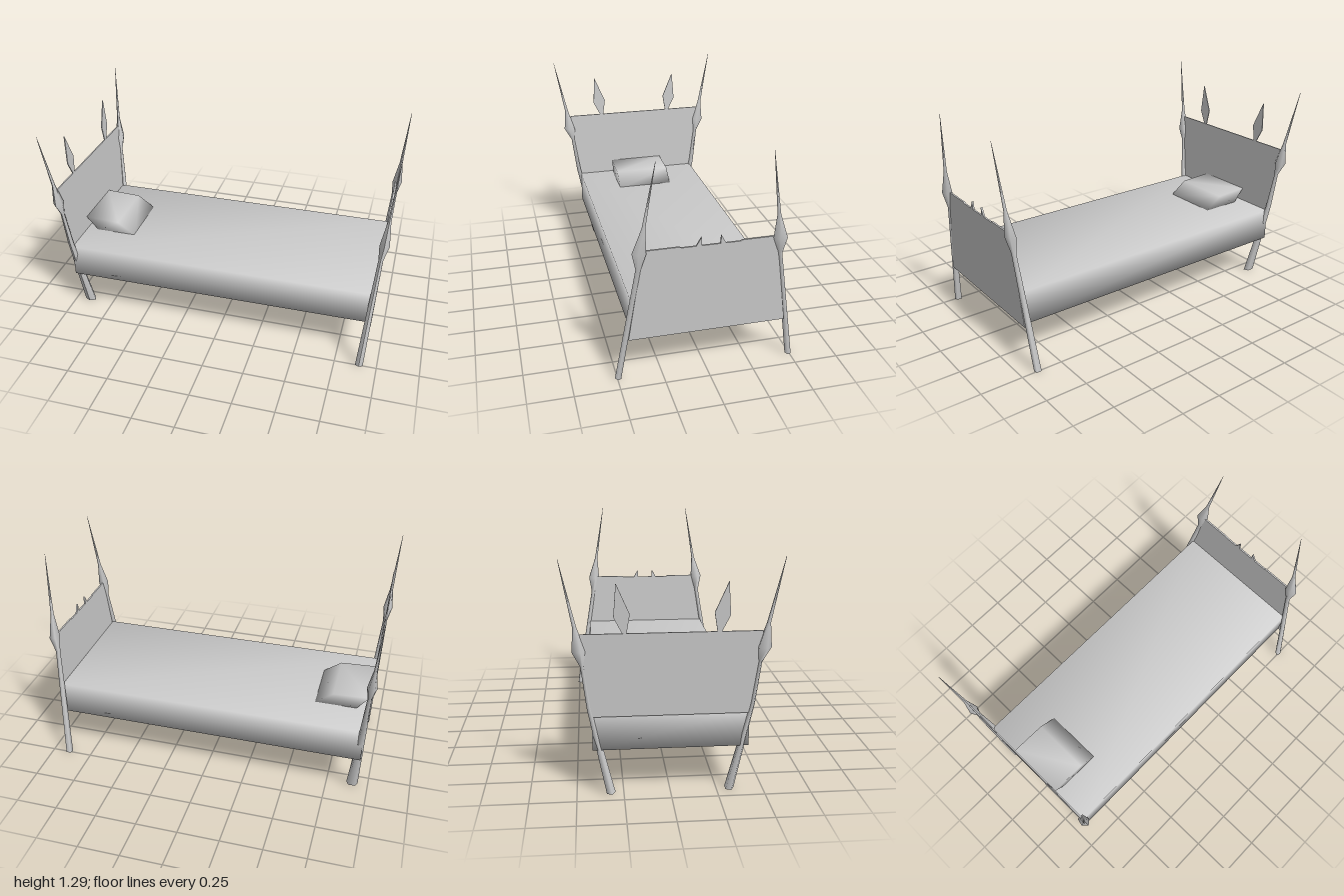
import * as THREE from 'three';
import { mergeVertices } from 'three/addons/utils/BufferGeometryUtils.js';

const material = new THREE.MeshStandardMaterial({ color: 0xcccccc, side: THREE.DoubleSide });

function addMesh(group, name, geometry) {
  const mesh = new THREE.Mesh(geometry, material);
  mesh.name = name;
  group.add(mesh);
  return mesh;
}

// Share corners so the shading flows softly over the edges
function soften(geometry) {
  geometry.deleteAttribute('normal');
  geometry.deleteAttribute('uv');
  const merged = mergeVertices(geometry, 1e-4);
  merged.computeVertexNormals();
  return merged;
}

// Few-sided post through stations [x, y, z, radius x, radius z]
function post(stations, sides = 5) {
  const geometry = new THREE.CylinderGeometry(1, 1, 1, sides, stations.length - 1);
  const p = geometry.attributes.position;
  for (let i = 0; i < p.count; i++) {
    const row = Math.round((p.getY(i) + 0.5) * (stations.length - 1));
    const [x, y, z, rx, rz] = stations[row];
    p.setXYZ(i, x + p.getX(i) * rx, y, z + p.getZ(i) * rz);
  }
  geometry.computeVertexNormals();
  return geometry;
}

// Thin panel from a [z, y] outline, leaning in x as it rises
function panel(outline, thickness, x, y0, lean) {
  const shape = new THREE.Shape(outline.map(([z, y]) => new THREE.Vector2(z, y)));
  const geometry = new THREE.ExtrudeGeometry(shape, { depth: thickness, bevelEnabled: false });
  geometry.translate(0, 0, -thickness / 2).rotateY(-Math.PI / 2);
  const p = geometry.attributes.position;
  for (let i = 0; i < p.count; i++) p.setX(i, p.getX(i) + x + lean * (p.getY(i) - y0));
  geometry.computeVertexNormals();
  return geometry;
}

export function createModel() {
  const bed = new THREE.Group();
  bed.name = 'bed';

  // Mattress with soft-shaded edges
  const mattress = soften(new THREE.BoxGeometry(1.875, 0.2, 0.825));
  addMesh(bed, 'mattress', mattress.translate(-0.007, 0.362, 0));

  // Wedge pillow resting against the headboard
  const profile = new THREE.Shape([[-0.87, 0.455], [-0.615, 0.455], [-0.73, 0.537], [-0.945, 0.546]]
    .map(([x, y]) => new THREE.Vector2(x, y)));
  const pillow = new THREE.ExtrudeGeometry(profile, { depth: 0.36, bevelEnabled: false });
  addMesh(bed, 'pillow', soften(pillow.translate(0, 0, -0.18)));

  // Headboard, flaring with its posts
  addMesh(bed, 'headboard',
    panel([[-0.42, 0.45], [0.42, 0.45], [0.465, 0.9], [-0.465, 0.9]], 0.008, -0.948, 0.45, -0.045));

  // Footboard, narrowing upward, with two small thorns on its top edge
  const halfTop = [[0.36, 0.797], [0.17, 0.797], [0.158, 0.791], [0.08, 0.791], [0.053, 0.84], [0.05, 0.791]];
  const mirroredTop = halfTop.map(([z, y]) => [-z, y]).reverse();
  addMesh(bed, 'footboard',
    panel([[-0.44, 0.26], [0.44, 0.26], ...halfTop, ...mirroredTop], 0.01, 0.932, 0.26, 0.04));

  for (const side of [1, -1]) {
    const label = side > 0 ? 'front' : 'back';

    // Head post: leg leaning outward, swollen bud and needle tip
    addMesh(bed, label + 'HeadPost', post([
      [-0.905, 0, 0.32, 0.036, 0.026],
      [-0.942, 0.5, 0.426, 0.02, 0.014],
      [-0.957, 0.73, 0.456, 0.013, 0.011],
      [-0.964, 0.81, 0.473, 0.03, 0.039],
      [-0.972, 0.94, 0.49, 0.01, 0.011],
      [-0.998, 1.285, 0.56, 0.001, 0.001],
    ].map(([x, y, z, rx, rz]) => [x, y, z * side, rx, rz])));

    // Foot post: leg leaning inward, swollen bud and needle tip
    addMesh(bed, label + 'FootPost', post([
      [0.897, 0, 0.495, 0.024, 0.018],
      [0.948, 0.69, 0.384, 0.014, 0.014],
      [0.96, 0.79, 0.379, 0.03, 0.04],
      [0.97, 0.93, 0.358, 0.01, 0.01],
      [0.998, 1.295, 0.301, 0.001, 0.001],
    ].map(([x, y, z, rx, rz]) => [x, y, z * side, rx, rz])));

    // Diamond blade floating above the headboard
    const blade = [[0.235, 0.865], [0.295, 0.985], [0.282, 1.16], [0.213, 1.0]];
    addMesh(bed, label + 'Blade',
      panel(blade.map(([z, y]) => [z * side, y]), 0.006, -0.968, 0.9, -0.045));
  }

  return bed;
}
